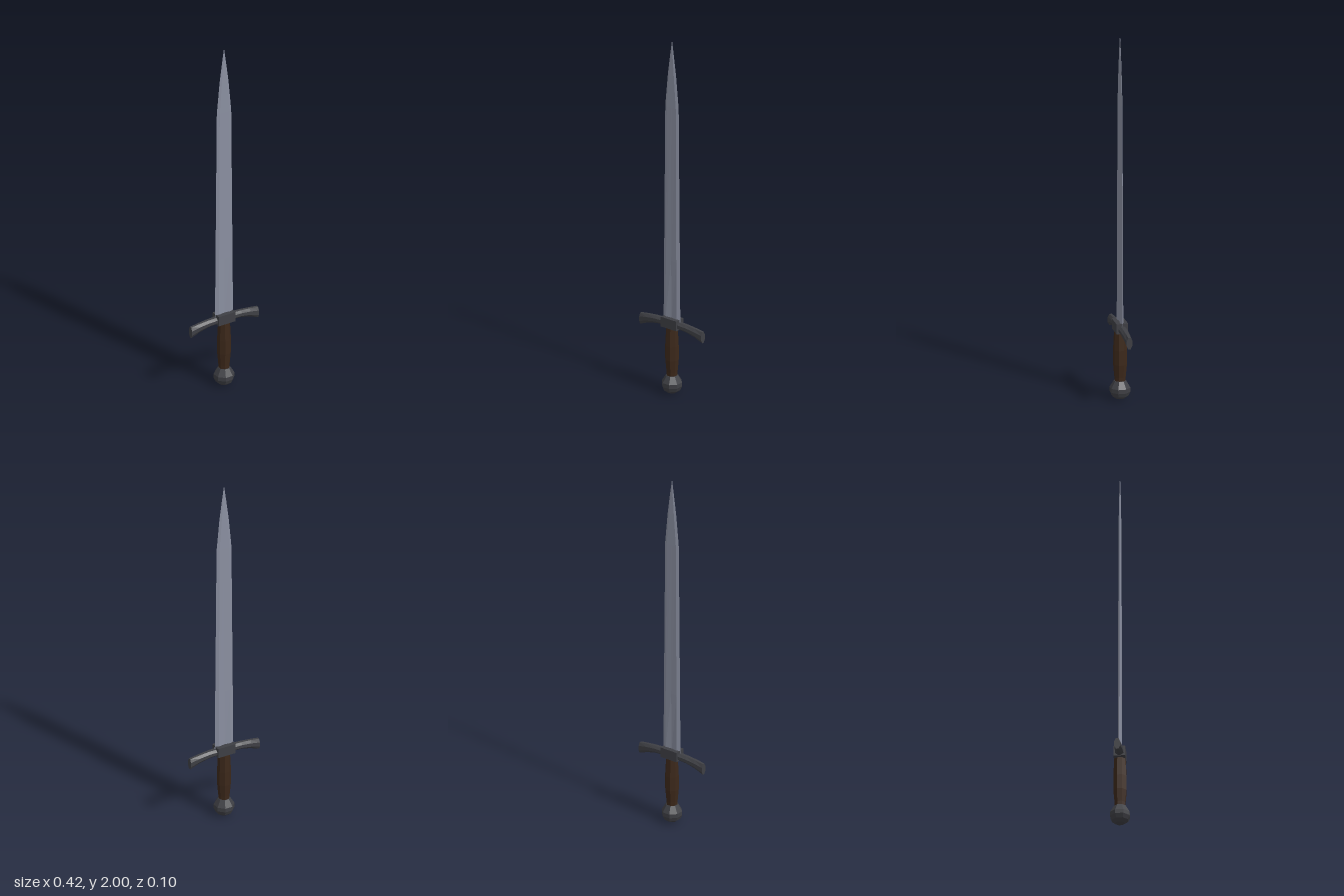
import * as THREE from 'three';

// Skins a stack of equal-length rings of [x, y, z] points and closes both ends.
function loft(rings) {
  const n = rings[0].length, last = (rings.length - 1) * n, index = [];
  for (let k = 0; k < last; k += n) {
    for (let i = 0; i < n; i++) {
      const a = k + i, b = k + (i + 1) % n;
      index.push(a, b, b + n, a, b + n, a + n);
    }
  }
  for (let i = 1; i < n - 1; i++) {
    index.push(0, i + 1, i, last, last + i, last + i + 1);
  }
  const geometry = new THREE.BufferGeometry();
  geometry.setAttribute('position', new THREE.Float32BufferAttribute(rings.flat(2), 3));
  geometry.setIndex(index);
  const flat = geometry.toNonIndexed();
  flat.computeVertexNormals();
  return flat;
}

// Eight-sided turned part with flats facing the axes; profile is [radius, y], bottom to top.
function turned(profile) {
  const points = profile.map(([r, y]) => new THREE.Vector2(r / Math.cos(Math.PI / 8), y));
  return new THREE.LatheGeometry(points, 8, Math.PI / 8);
}

export function createModel() {
  const sword = new THREE.Group();
  sword.name = 'sword';
  const material = (name, color) => {
    const m = new THREE.MeshStandardMaterial({ color, flatShading: true });
    m.name = name;
    return m;
  };
  const steel = material('steel', 0x8a8fa0);
  const iron = material('dark iron', 0x3e3f44);
  const leather = material('brown leather', 0x3c281a);
  const add = (name, geometry, mat) => {
    const mesh = new THREE.Mesh(geometry, mat);
    mesh.name = name;
    sword.add(mesh);
    return mesh;
  };

  // Blade: y, edge half width, flat half width, half thickness, half thickness in the fuller
  const bladeRows = [
    [0.41, 0.056, 0.036, 0.009, 0.004],
    [0.75, 0.053, 0.035, 0.008, 0.007],
    [1.62, 0.045, 0.03, 0.006, 0.006],
    [1.8, 0.028, 0.016, 0.005, 0.005],
    [1.92, 0.012, 0.006, 0.003, 0.003],
    [2.0, 0.0005, 0.0003, 0.0003, 0.0003],
  ];
  add('blade', loft(bladeRows.map(([y, e, r, t, g]) => [
    [-e, y, 0], [-r, y, t], [0, y, g], [r, y, t],
    [e, y, 0], [r, y, -t], [0, y, -g], [-r, y, -t],
  ])), steel);

  // Guard block
  add('guardBlock', new THREE.BoxGeometry(0.105, 0.055, 0.062), iron).position.y = 0.398;

  // Guard arms: x, centre y, half height, half depth, drooping and flaring outward
  const armRows = [
    [0.045, 0.393, 0.019, 0.022],
    [0.1, 0.39, 0.02, 0.02],
    [0.155, 0.381, 0.024, 0.018],
    [0.208, 0.367, 0.031, 0.0155],
  ];
  const armGeometry = loft(armRows.map(([x, cy, h, d]) =>
    Array.from({ length: 8 }, (_, i) => {
      const a = (i + 0.5) * Math.PI / 4, s = 1 / Math.cos(Math.PI / 8);
      return [x, cy + h * s * Math.cos(a), d * s * Math.sin(a)];
    })));
  add('leftGuardArm', armGeometry, iron);
  add('rightGuardArm', armGeometry, iron).rotation.y = Math.PI;

  // Grip, swelling at the middle
  add('grip', turned([
    [0.027, 0.09], [0.028, 0.12], [0.034, 0.19], [0.034, 0.27], [0.029, 0.375],
  ]), leather);

  // Pommel
  add('pommel', turned([
    [0, 0], [0.024, 0.003], [0.042, 0.018], [0.051, 0.04],
    [0.051, 0.062], [0.03, 0.1], [0, 0.103],
  ]), iron);

  return sword;
}
